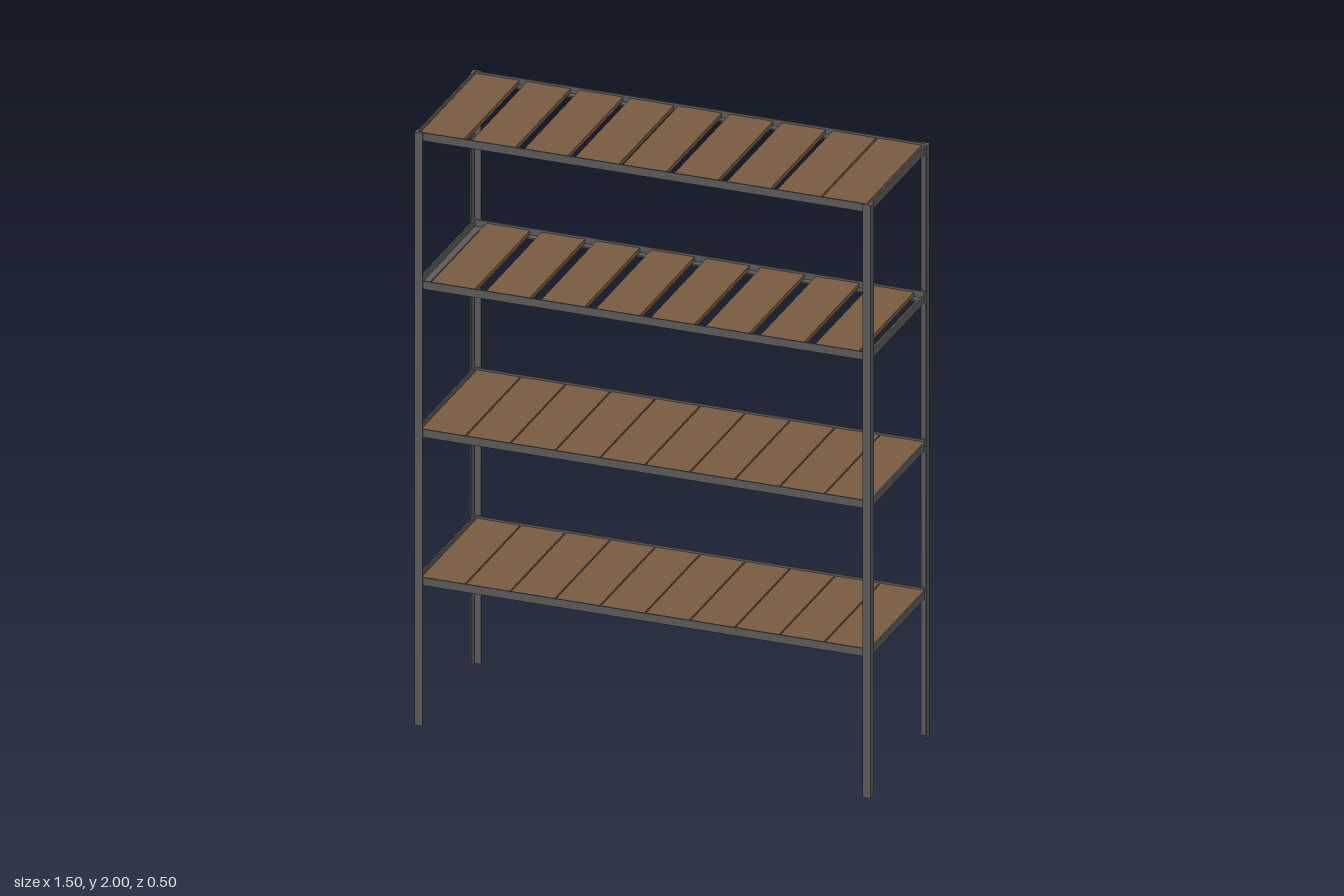
import * as THREE from 'three';

const W = 0.752, D = 0.25;        // outer half sizes of the posts
const T = 0.005, LEG = 0.027;     // angle-iron thickness and leg width
const BOARD_W = 0.143, BOARD_T = 0.015;

export function createModel() {
  const steel = new THREE.MeshStandardMaterial({ color: 0x5a5a5a });
  steel.name = 'grey steel';
  const wood = new THREE.MeshStandardMaterial({ color: 0x785a40 });
  wood.name = 'brown wood';

  const model = new THREE.Group();
  model.name = 'shelvingUnit';

  // L-shaped bar: corner at the origin, legs along +x and +y, extruded along +z
  const angleBar = (length) => {
    const s = new THREE.Shape();
    s.moveTo(0, 0);
    s.lineTo(LEG, 0);
    s.lineTo(LEG, T);
    s.lineTo(T, T);
    s.lineTo(T, LEG);
    s.lineTo(0, LEG);
    s.closePath();
    return new THREE.ExtrudeGeometry(s, { depth: length, bevelEnabled: false });
  };
  const add = (parent, geometry, material, name, x, y, z, ry = 0) => {
    const mesh = new THREE.Mesh(geometry, material);
    mesh.name = name;
    mesh.position.set(x, y, z);
    mesh.rotation.y = ry;
    parent.add(mesh);
  };

  // Corner posts, each turned so its corner points outward
  const post = angleBar(2).rotateX(-Math.PI / 2);
  add(model, post, steel, 'frontRightPost', -W, 0, D, 0);
  add(model, post, steel, 'frontLeftPost', W, 0, D, Math.PI / 2);
  add(model, post, steel, 'backLeftPost', W, 0, -D, Math.PI);
  add(model, post, steel, 'backRightPost', -W, 0, -D, -Math.PI / 2);

  // Shelf frames: upright leg outside, lower leg carrying the boards
  const bx = W - T, bz = D - T;
  const endBeam = angleBar(2 * bz).translate(0, 0, -bz);
  const longBeam = angleBar(2 * bx).translate(0, 0, -bx);
  const board = new THREE.BoxGeometry(BOARD_W, BOARD_T, 2 * (bz - T));

  // Left edges of the loosely laid boards on the top shelf
  const loose = [-0.74, -0.571, -0.398, -0.23, -0.073, 0.097, 0.27, 0.436, 0.586];
  const spread = (count) => {
    const gap = (2 * (bx - T) - count * BOARD_W) / (count + 1);
    return Array.from({ length: count }, (_, i) => -(bx - T) + gap + i * (BOARD_W + gap));
  };
  const layouts = [spread(10), spread(10), spread(8), loose];

  layouts.forEach((edges, level) => {
    const shelf = new THREE.Group();
    shelf.name = `shelf${level + 1}`;
    shelf.position.y = 0.5 * (level + 1) - LEG;
    add(shelf, endBeam, steel, 'rightBeam', -bx, 0, 0, 0);
    add(shelf, endBeam, steel, 'leftBeam', bx, 0, 0, Math.PI);
    add(shelf, longBeam, steel, 'frontBeam', 0, 0, bz, Math.PI / 2);
    add(shelf, longBeam, steel, 'backBeam', 0, 0, -bz, -Math.PI / 2);
    for (const x of edges) {
      add(shelf, board, wood, 'board', x + BOARD_W / 2, T + BOARD_T / 2, 0);
    }
    model.add(shelf);
  });

  return model;
}
